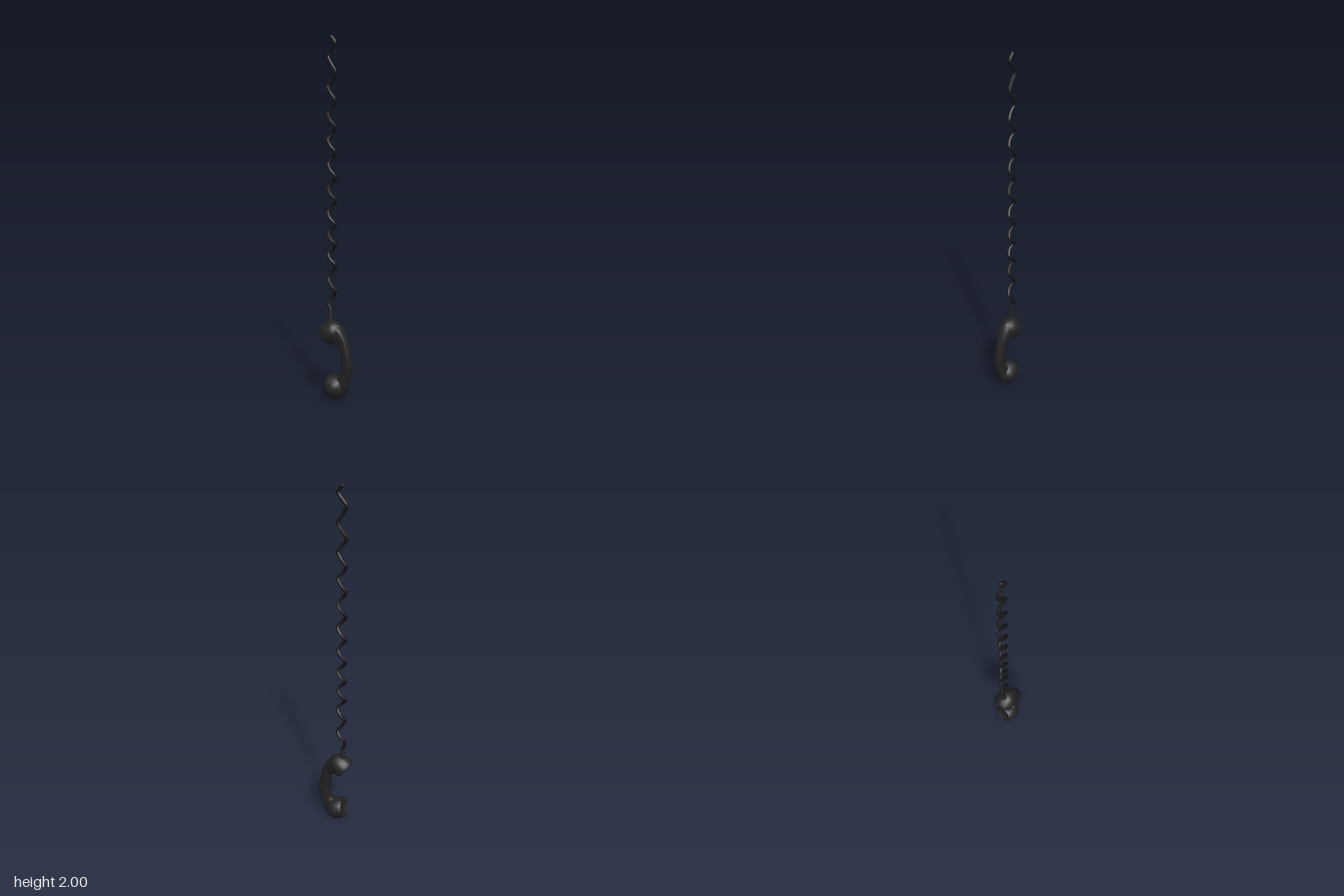
import * as THREE from 'three';

const V = (x, y, z = 0) => new THREE.Vector3(x, y, z);

// Round cup: profile of [radius, height], opening along `axis` at `centre`
function makeCup(name, centre, axis, profile, material) {
  const group = new THREE.Group();
  const shell = profile.map(([r, h]) => new THREE.Vector2(r, h));
  const rim = shell[shell.length - 1].x;
  const face = [[rim, 0], [rim - 0.009, 0.002], [rim - 0.014, -0.008], [0.016, -0.008], [0.012, -0.012], [0, -0.012]]
    .map(([r, h]) => new THREE.Vector2(r, h));
  group.add(new THREE.Mesh(new THREE.LatheGeometry(shell, 18), material));
  group.add(new THREE.Mesh(new THREE.LatheGeometry(face, 18), material));
  group.children[0].name = name + 'Shell';
  group.children[1].name = name + 'Face';
  group.position.copy(centre);
  group.quaternion.setFromUnitVectors(V(0, 1, 0), axis.clone().normalize());
  group.name = name;
  return group;
}

// Curved grip lofted between an outer and an inner edge; outer z is the half thickness
function makeGrip(outerPoints, innerPoints) {
  const outer = new THREE.CatmullRomCurve3(outerPoints);
  const inner = new THREE.CatmullRomCurve3(innerPoints);
  const rows = 22, sides = 16, positions = [], index = [];
  for (let i = 0; i <= rows; i++) {
    const o = outer.getPoint(i / rows), n = inner.getPoint(i / rows);
    const halfZ = o.z;
    o.z = n.z = 0;
    const centre = o.clone().add(n).multiplyScalar(0.5);
    const half = o.sub(n).multiplyScalar(0.5);
    for (let j = 0; j < sides; j++) {
      const a = j / sides * Math.PI * 2, c = Math.cos(a), s = Math.sin(a);
      const u = Math.sign(c) * Math.abs(c) ** 0.6, w = Math.sign(s) * Math.abs(s) ** 0.6;
      positions.push(centre.x + half.x * u, centre.y + half.y * u, halfZ * w);
      if (i < rows) {
        const k = (j + 1) % sides, p = i * sides, q = p + sides;
        index.push(p + j, p + k, q + j, p + k, q + k, q + j);
      }
    }
  }
  const g = new THREE.BufferGeometry();
  g.setAttribute('position', new THREE.Float32BufferAttribute(positions, 3));
  g.setIndex(index);
  g.computeVertexNormals();
  return g;
}

export function createModel() {
  const model = new THREE.Group();
  model.name = 'hangingHandset';
  const body = new THREE.MeshStandardMaterial({ color: 0x222224 });
  body.name = 'blackPlastic';
  const cordBlack = new THREE.MeshStandardMaterial({ color: 0x18181a });
  cordBlack.name = 'cordBlack';
  const add = (geometry, material, name) => {
    const mesh = new THREE.Mesh(geometry, material);
    mesh.name = name;
    model.add(mesh);
    return mesh;
  };

  // Earpiece and mouthpiece
  model.add(makeCup('earpiece', V(-0.068, 0.366), V(-0.81, -0.58),
    [[0, -0.112], [0.022, -0.108], [0.041, -0.094], [0.056, -0.072], [0.062, -0.045], [0.063, -0.02], [0.061, -0.004], [0.057, 0]], body));
  model.add(makeCup('mouthpiece', V(-0.06, 0.09), V(-0.95, 0.31),
    [[0, -0.118], [0.026, -0.113], [0.049, -0.097], [0.063, -0.076], [0.067, -0.05], [0.062, -0.02], [0.054, -0.002], [0.051, 0]], body));

  // Grip
  add(makeGrip(
    [V(-0.02, 0.451, 0.042), V(0.024, 0.43, 0.038), V(0.058, 0.38, 0.028), V(0.084, 0.306, 0.025),
      V(0.101, 0.212, 0.025), V(0.089, 0.133, 0.025), V(0.063, 0.058, 0.028), V(0.028, 0.016, 0.038), V(-0.015, 0.001, 0.042)],
    [V(-0.015, 0.33), V(0.01, 0.324), V(0.024, 0.313), V(0.031, 0.272),
      V(0.034, 0.217), V(0.031, 0.172), V(0.021, 0.14), V(0.002, 0.133), V(-0.02, 0.13)]), body, 'grip');

  // Tapered sleeve where the cord enters
  const sleeve = add(new THREE.CylinderGeometry(0.01, 0.018, 0.08, 12), body, 'cordSleeve');
  sleeve.position.set(-0.046, 0.47, -0.003);

  // Coiled cord: heights of successive right and left swings, unevenly stretched
  const swings = [1.96, 1.895, 1.81, 1.735, 1.665, 1.59, 1.525, 1.457, 1.39, 1.325, 1.257, 1.193,
    1.13, 1.06, 0.997, 0.944, 0.886, 0.828, 0.77, 0.696, 0.622, 0.553];
  const path = [V(-0.04, 1.991, -0.008)];
  swings.forEach((y, i) => {
    const side = i % 2 ? -1 : 1;
    const next = swings[i + 1] ?? 0.51;
    const depth = 0.002 + 0.01 * Math.min(1, i / 6);
    path.push(V(-0.04 + side * 0.023, y, -0.008));
    path.push(V(-0.04, (y + next) / 2, -0.008 - side * depth));
  });
  path.pop();
  path.push(V(-0.046, 0.505, -0.004), V(-0.046, 0.47, -0.003));
  const curve = new THREE.CatmullRomCurve3(path);
  add(new THREE.TubeGeometry(curve, 320, 0.0095, 8), cordBlack, 'coiledCord');
  const tip = add(new THREE.SphereGeometry(0.0095, 8, 6), cordBlack, 'cordEnd');
  tip.position.copy(path[0]);

  return model;
}
